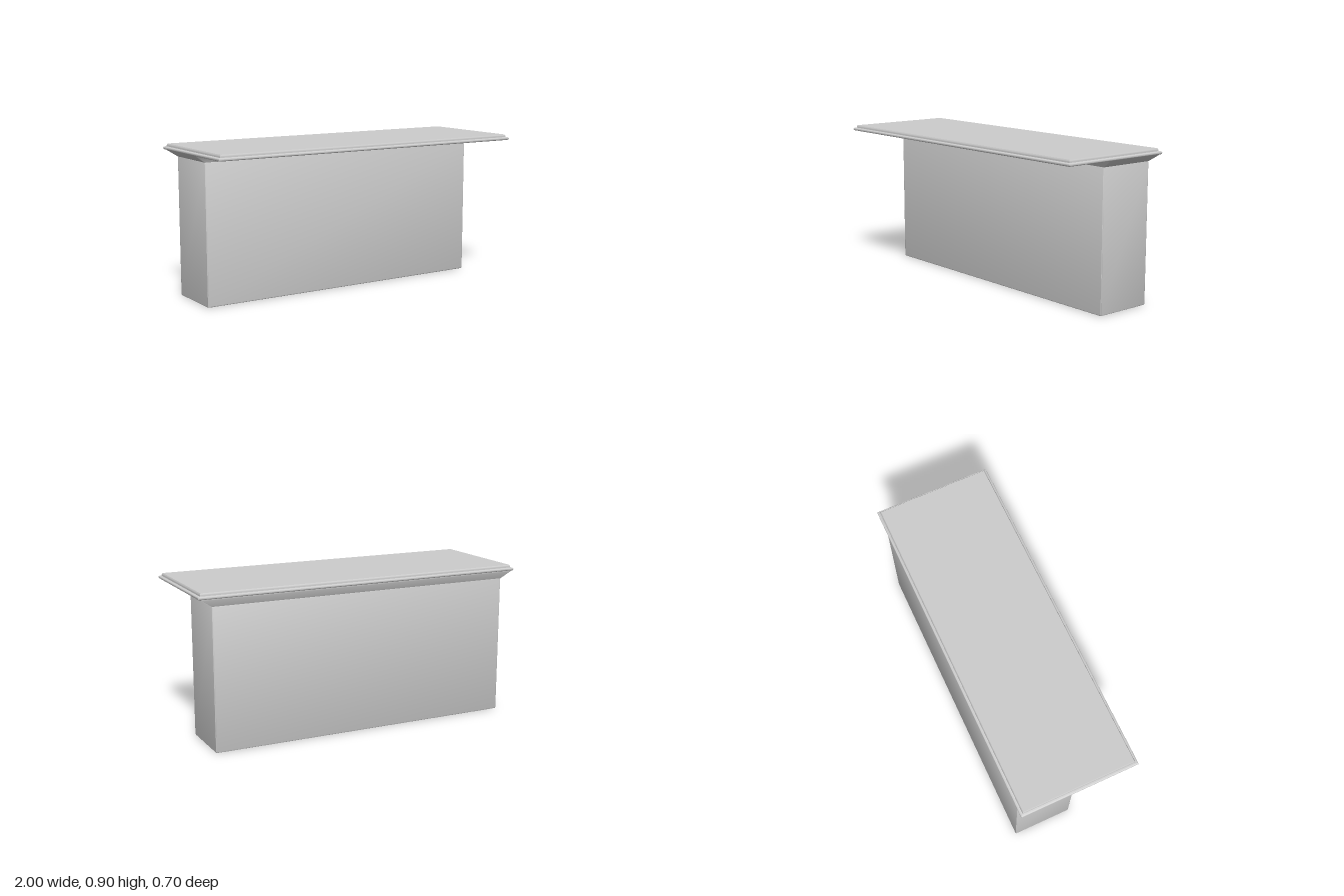
import * as THREE from 'three';
import { toCreasedNormals } from 'three/addons/utils/BufferGeometryUtils.js';

// Rectangle outline [x, z] with optionally rounded corners, counter-clockwise from above
function outline({ x, z0, z1, r = 0 }, steps) {
  const pts = [];
  const corners = [[x, z1, 0], [x, z0, 1], [-x, z0, 2], [-x, z1, 3]];
  for (const [cx, cz, q] of corners) {
    const ox = cx - Math.sign(cx) * r;
    const oz = cz + (q === 0 || q === 3 ? -r : r);
    for (let i = 0; i <= steps; i++) {
      const a = (q - 1 + (steps ? i / steps : 0)) * Math.PI / 2;
      pts.push([ox + r * Math.cos(a), oz - r * Math.sin(a)]);
    }
  }
  // Square corners collapse to single points
  return r ? pts : corners.map(([cx, cz]) => [cx, cz]);
}

// Skin a stack of rectangular rings, listed from bottom to top
function loft(rings, { steps = 0, bottom = false, top = false } = {}) {
  const pos = [], index = [];
  const n = steps ? 4 * (steps + 1) : 4;
  for (const ring of rings) {
    for (const [x, z] of outline(ring, steps)) pos.push(x, ring.y, z);
  }
  for (let k = 0; k < rings.length - 1; k++) {
    for (let i = 0; i < n; i++) {
      const j = (i + 1) % n, a = k * n, b = a + n;
      index.push(a + i, a + j, b + j, a + i, b + j, b + i);
    }
  }
  const t = (rings.length - 1) * n;
  for (let i = 1; i < n - 1; i++) {
    if (bottom) index.push(0, i + 1, i);
    if (top) index.push(t, t + i, t + i + 1);
  }
  const g = new THREE.BufferGeometry();
  g.setAttribute('position', new THREE.Float32BufferAttribute(pos, 3));
  g.setIndex(index);
  return toCreasedNormals(g, 0.6);
}

export function createModel() {
  const group = new THREE.Group();
  const solid = new THREE.MeshStandardMaterial({ color: 0xcccccc });
  const shell = new THREE.MeshStandardMaterial({ color: 0xcccccc, side: THREE.DoubleSide });
  const add = (name, geometry, material) => {
    const mesh = new THREE.Mesh(geometry, material);
    mesh.name = name;
    group.add(mesh);
  };

  // Hollow body, open underneath, with softened lower and vertical edges
  const bodyRing = (inset, y) => ({
    x: 0.92 - inset, z0: -0.334 + inset, z1: 0.021 - inset, r: 0.006, y,
  });
  add('body', loft([
    bodyRing(0.006, 0), bodyRing(0.002, 0.002), bodyRing(0, 0.006),
    bodyRing(0, 0.818), bodyRing(0.002, 0.823),
  ], { steps: 3 }), shell);

  // Flared moulding between body and top
  add('flaredMoulding', loft([
    { x: 0.918, z0: -0.332, z1: 0.019, y: 0.821 },
    { x: 0.924, z0: -0.334, z1: 0.021, y: 0.825 },
    { x: 0.978, z0: -0.347, z1: 0.034, y: 0.86 },
    { x: 0.984, z0: -0.348, z1: 0.038, y: 0.865 },
    { x: 0.986, z0: -0.348, z1: 0.044, y: 0.867 },
  ]), shell);

  // Top slab with a rounded nosing
  const slabRing = (inset, y) => ({ x: 1 - inset, z0: -0.351 + inset, z1: 0.351 - inset, y });
  const nosing = [];
  for (let i = 0; i <= 8; i++) {
    const a = -Math.PI / 2 + Math.PI * i / 8;
    nosing.push(slabRing(0.009 * (1 - Math.cos(a)), 0.875 + 0.009 * Math.sin(a)));
  }
  add('topSlab', loft(nosing, { bottom: true, top: true }), solid);

  // Raised inset panel with a bevelled rim
  add('topPanel', loft([
    slabRing(0.015, 0.883), slabRing(0.015, 0.89),
    slabRing(0.017, 0.896), slabRing(0.02, 0.9),
  ], { top: true }), solid);

  return group;
}
